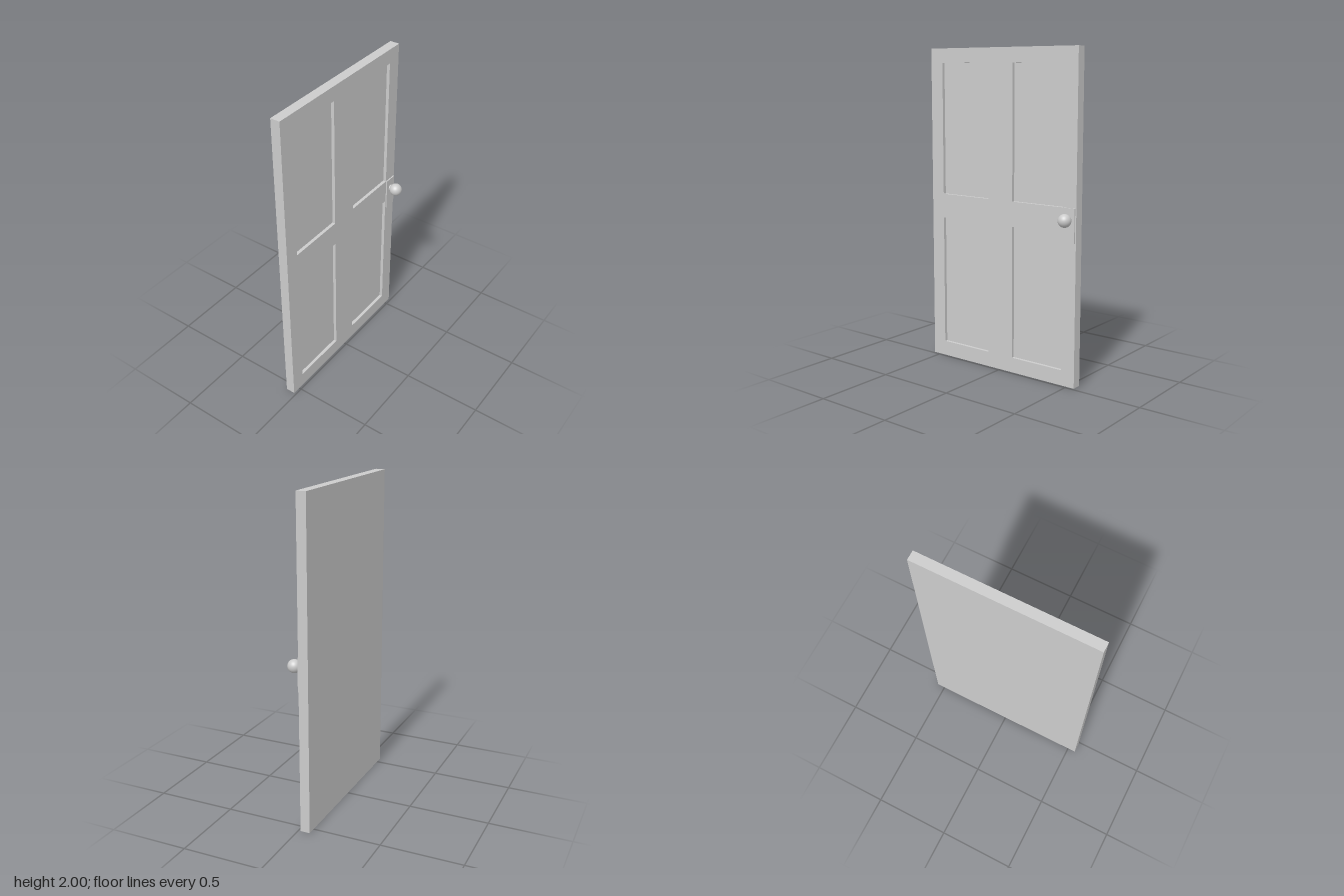
import * as THREE from 'three';

const WIDTH = 1.104, HEIGHT = 2;
const BACK = -0.075, FRONT = -0.015, RECESS = 0.02;

export function createModel() {
  const group = new THREE.Group();
  const material = new THREE.MeshStandardMaterial({ color: 0xcccccc });
  const add = (name, geometry, x, y, z) => {
    const mesh = new THREE.Mesh(geometry, material);
    mesh.name = name;
    mesh.position.set(x, y, z);
    group.add(mesh);
    return mesh;
  };
  // Traces a rectangle from its lower left corner
  const rect = (path, x, y, w, h) => path
    .moveTo(x, y).lineTo(x + w, y).lineTo(x + w, y + h).lineTo(x, y + h).closePath();

  // Solid back slab, whose face is the floor of the recessed panels
  const slabDepth = FRONT - RECESS - BACK;
  add('doorSlab', new THREE.BoxGeometry(WIDTH, HEIGHT, slabDepth), 0, HEIGHT / 2, BACK + slabDepth / 2);

  // Front frame of stiles and rails around four panel openings
  const frame = rect(new THREE.Shape(), -WIDTH / 2, 0, WIDTH, HEIGHT);
  for (const x of [-0.46, 0.092]) {
    for (const y of [0.095, 1.08]) {
      frame.holes.push(rect(new THREE.Path(), x, y, 0.368, 0.83));
    }
  }
  add('panelFrame', new THREE.ExtrudeGeometry(frame, { depth: RECESS, bevelEnabled: false }),
    0, 0, FRONT - RECESS);

  // Lock plate, neck and round knob
  const knobX = 0.504, knobY = 1.012;
  add('lockPlate', new THREE.BoxGeometry(0.082, 0.205, 0.008), knobX, 0.978, FRONT + 0.004);
  add('knobNeck', new THREE.CylinderGeometry(0.02, 0.02, 0.03, 32), knobX, knobY, 0.005)
    .rotation.x = Math.PI / 2;
  add('knob', new THREE.SphereGeometry(0.04, 40, 24), knobX, knobY, 0.034);

  return group;
}
